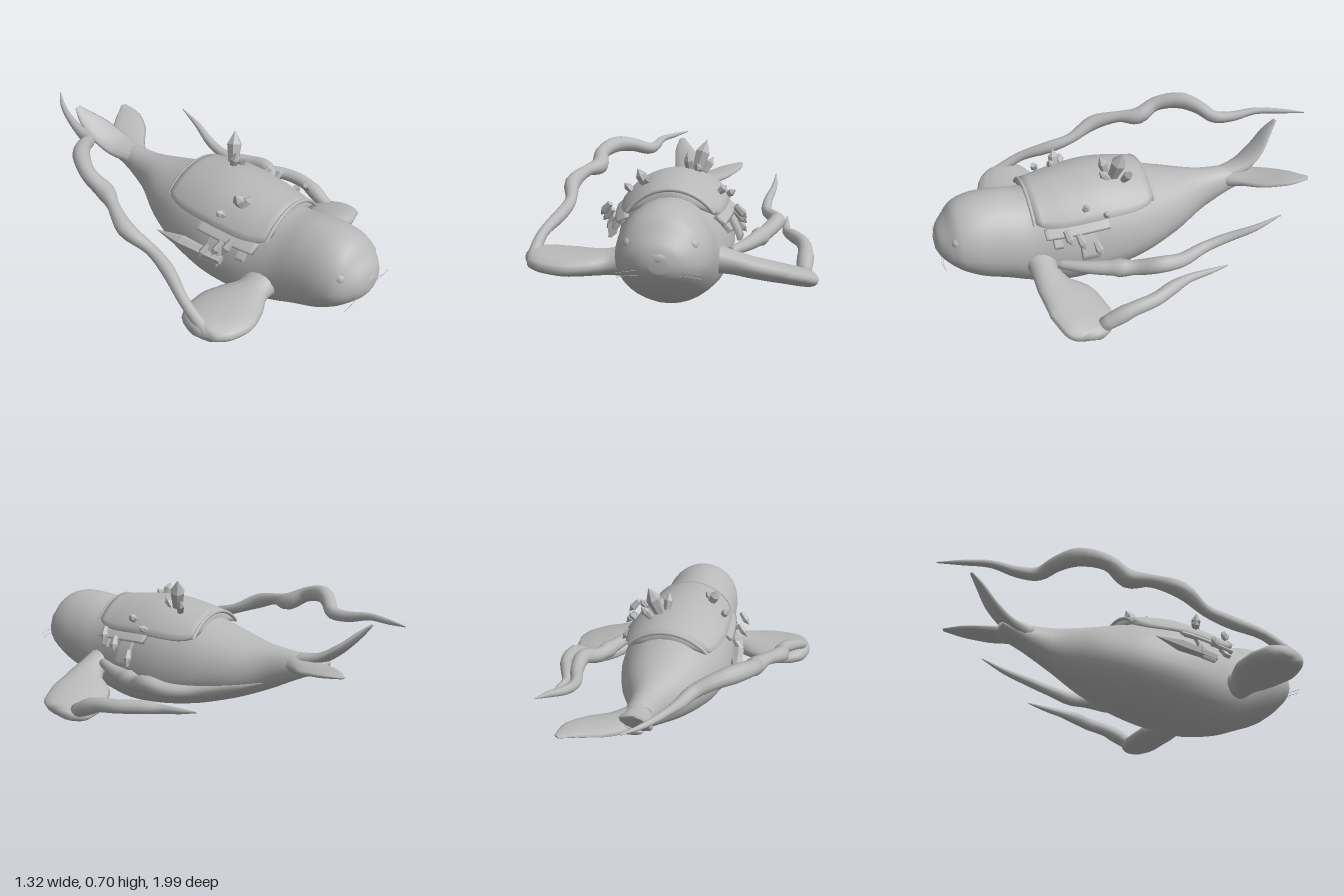
import * as THREE from 'three';

const V = (x, y, z) => new THREE.Vector3(x, y, z);
const grey = new THREE.MeshStandardMaterial({ color: 0xb8b8b8 });
grey.name = 'grey';

// Skin a list of equal-length closed rings and cap both ends
function loft(rings) {
  const n = rings[0].length, pos = [], idx = [];
  rings.forEach(r => r.forEach(p => pos.push(p.x, p.y, p.z)));
  for (let i = 0; i < rings.length - 1; i++) {
    for (let j = 0; j < n; j++) {
      const a = i * n + j, b = i * n + (j + 1) % n;
      idx.push(a, b, a + n, b, b + n, a + n);
    }
  }
  [0, rings.length - 1].forEach((i, end) => {
    const c = rings[i].reduce((s, p) => s.add(p), V(0, 0, 0)).divideScalar(n);
    const k = pos.length / 3;
    pos.push(c.x, c.y, c.z);
    for (let j = 0; j < n; j++) {
      const a = i * n + j, b = i * n + (j + 1) % n;
      if (end) idx.push(a, b, k); else idx.push(b, a, k);
    }
  });
  const g = new THREE.BufferGeometry();
  g.setAttribute('position', new THREE.Float32BufferAttribute(pos, 3));
  g.setIndex(idx);
  g.computeVertexNormals();
  return g;
}

// Sweep an ellipse through [x, y, z, halfWidth, halfThickness] sections
function sweep(sections, widthDir, steps = 4, sides = 12) {
  const path = new THREE.CatmullRomCurve3(sections.map(s => V(s[0], s[1], s[2])));
  const size = new THREE.CatmullRomCurve3(sections.map(s => V(s[3], s[4] ?? s[3], 0)));
  const count = (sections.length - 1) * steps, rings = [];
  for (let i = 0; i <= count; i++) {
    const p = path.getPoint(i / count), s = size.getPoint(i / count), t = path.getTangent(i / count);
    const w = widthDir.clone().addScaledVector(t, -widthDir.dot(t)).normalize();
    const b = t.clone().cross(w);
    rings.push(Array.from({ length: sides }, (_, j) => {
      const a = j / sides * Math.PI * 2;
      return p.clone().addScaledVector(w, Math.max(s.x, 0.001) * Math.cos(a))
        .addScaledVector(b, Math.max(s.y, 0.001) * Math.sin(a));
    }));
  }
  return loft(rings);
}

// Body profile from tail to nose: z, top, bottom, half width, height of widest line, sideways shift
const profile = [
  [-0.66, 0.385, 0.345, 0.07, 0.365, 0.03], [-0.52, 0.408, 0.275, 0.068, 0.34, 0.025], [-0.38, 0.42, 0.2, 0.092, 0.31, 0.018],
  [-0.2, 0.455, 0.12, 0.187, 0.28, 0.01], [0, 0.51, 0.055, 0.255, 0.25, 0.004], [0.2, 0.54, 0.014, 0.278, 0.23, 0],
  [0.38, 0.53, 0, 0.262, 0.22, 0], [0.55, 0.51, 0.027, 0.228, 0.23, 0], [0.68, 0.532, 0.075, 0.212, 0.28, 0],
  [0.8, 0.532, 0.125, 0.203, 0.31, 0], [0.88, 0.505, 0.18, 0.182, 0.32, 0], [0.93, 0.45, 0.225, 0.145, 0.32, 0],
  [0.97, 0.405, 0.265, 0.09, 0.33, 0], [0.988, 0.36, 0.3, 0.035, 0.33, 0]];
const edgeCurve = new THREE.CatmullRomCurve3(profile.map(p => V(p[0], p[1], p[2])));
const girthCurve = new THREE.CatmullRomCurve3(profile.map(p => V(p[3], p[4], p[5])));

function bodySection(t) {
  const e = edgeCurve.getPoint(t), g = girthCurve.getPoint(t);
  return { z: e.x, top: e.y, bottom: e.z, w: g.x, mid: g.y, shift: g.z };
}
function sectionAtZ(z) {
  let lo = 0, hi = 1;
  for (let i = 0; i < 24; i++) {
    const m = (lo + hi) / 2;
    if (edgeCurve.getPoint(m).x < z) lo = m; else hi = m;
  }
  return bodySection(lo);
}
function bodyPoint(s, a, off = 0) {
  const c = Math.cos(a), k = Math.sin(a);
  const h = k > 0 ? s.top - s.mid : s.mid - s.bottom;
  return V(s.shift + (s.w + off) * c, s.mid + (h + off) * k, s.z);
}

// Shell over the body between two z values; range(u) gives start and end angles, off(v) the height
function bodyShell(z0, z1, range, off, arc = 18) {
  const rings = [];
  for (let i = 0; i <= 16; i++) {
    const u = i / 16, s = sectionAtZ(z0 + u * (z1 - z0)), [from, to] = range(u);
    const angle = j => from + (to - from) * j / arc;
    const ring = [];
    for (let j = 0; j <= arc; j++) ring.push(bodyPoint(s, angle(j), off(j / arc)));
    for (let j = arc; j >= 0; j--) ring.push(bodyPoint(s, angle(j), off(j / arc) - 0.02));
    rings.push(ring);
  }
  return loft(rings);
}

export function createModel() {
  const model = new THREE.Group();
  const add = (name, geometry, material = grey) => {
    const m = new THREE.Mesh(geometry, material);
    m.name = name;
    model.add(m);
    return m;
  };

  // Torso and head
  const rings = [];
  for (let i = 0; i <= 60; i++) {
    const s = bodySection(i / 60);
    rings.push(Array.from({ length: 32 }, (_, j) => bodyPoint(s, j / 32 * Math.PI * 2)));
  }
  add('body', loft(rings));

  // Broad tail flukes, the right one lifted higher
  add('rightFluke', sweep([[0.015, 0.36, -0.5, 0.055, 0.045], [0, 0.39, -0.62, 0.078, 0.028],
    [-0.025, 0.445, -0.71, 0.076, 0.02], [-0.058, 0.515, -0.785, 0.05, 0.014], [-0.07, 0.57, -0.84, 0.016, 0.005]], V(1, 0.25, 0)));
  add('leftFluke', sweep([[0.03, 0.35, -0.5, 0.055, 0.045], [0.08, 0.365, -0.605, 0.082, 0.028],
    [0.155, 0.385, -0.685, 0.092, 0.02], [0.23, 0.41, -0.77, 0.068, 0.015], [0.28, 0.425, -0.855, 0.016, 0.005]], V(1, 0, 1)));

  // Front flippers, the left one sloping down and tilted back
  add('rightFlipper', sweep([[-0.17, 0.22, 0.53, 0.1, 0.08], [-0.26, 0.21, 0.535, 0.08, 0.06],
    [-0.35, 0.205, 0.535, 0.125, 0.055], [-0.46, 0.205, 0.53, 0.16, 0.054],
    [-0.56, 0.212, 0.52, 0.145, 0.052], [-0.625, 0.218, 0.515, 0.1, 0.045], [-0.655, 0.22, 0.515, 0.03, 0.02]], V(0, 0, 1), 4, 16));
  add('leftFlipper', sweep([[0.18, 0.235, 0.525, 0.08, 0.07], [0.27, 0.218, 0.525, 0.068, 0.055],
    [0.36, 0.19, 0.505, 0.092, 0.05], [0.46, 0.156, 0.45, 0.146, 0.047],
    [0.56, 0.128, 0.415, 0.145, 0.044], [0.62, 0.11, 0.39, 0.105, 0.038], [0.652, 0.105, 0.38, 0.03, 0.018]], V(0, 0.25, 1), 4, 16));

  // Wavy trailing tendrils
  const up = V(0, 1, 0);
  add('rightTendril', sweep([[-0.62, 0.22, 0.56, 0.03], [-0.605, 0.3, 0.42, 0.025], [-0.55, 0.36, 0.27, 0.032],
    [-0.53, 0.4, 0.15, 0.028], [-0.55, 0.46, 0.01, 0.04], [-0.5, 0.5, -0.12, 0.03], [-0.455, 0.51, -0.22, 0.045],
    [-0.46, 0.56, -0.32, 0.038], [-0.4, 0.59, -0.44, 0.043], [-0.32, 0.58, -0.51, 0.037], [-0.24, 0.55, -0.57, 0.032],
    [-0.21, 0.55, -0.66, 0.027], [-0.18, 0.575, -0.78, 0.018], [-0.12, 0.582, -0.9, 0.013], [-0.05, 0.592, -1, 0.003]], up));
  add('leftOuterTendril', sweep([[0.6, 0.12, 0.36, 0.035], [0.615, 0.185, 0.22, 0.035], [0.605, 0.2, 0.1, 0.033],
    [0.565, 0.205, 0, 0.032], [0.535, 0.205, -0.09, 0.022], [0.54, 0.22, -0.2, 0.014], [0.545, 0.235, -0.29, 0.003]], up));
  add('leftInnerTendril', sweep([[0.27, 0.25, 0.46, 0.022], [0.335, 0.25, 0.35, 0.03], [0.385, 0.25, 0.23, 0.038],
    [0.43, 0.255, 0.12, 0.038], [0.48, 0.285, 0.03, 0.04], [0.475, 0.275, -0.08, 0.035], [0.435, 0.28, -0.21, 0.028],
    [0.44, 0.31, -0.33, 0.024], [0.475, 0.36, -0.46, 0.016], [0.488, 0.412, -0.585, 0.003]], up));

  // Saddle shell hugging the back
  add('saddle', bodyShell(-0.05, 0.54, u => {
    const start = 0.64 + 0.15 * Math.pow(Math.abs(2 * u - 1), 6);
    return [start, Math.PI - start];
  }, () => 0.038));

  // Rolled saddle rims
  [['saddleFrontRim', 0.54], ['saddleBackRim', -0.05]].forEach(([name, z]) => {
    const s = sectionAtZ(z), pts = [];
    for (let j = 0; j <= 12; j++) pts.push(bodyPoint(s, 0.75 + (Math.PI - 1.5) * j / 12, 0.032));
    add(name, new THREE.TubeGeometry(new THREE.CatmullRomCurve3(pts), 32, 0.009, 8));
  });

  // Side flaps with a hanging strap, flaring slightly off the flanks
  const flap = (name, z0, z1, low, high, lift) => {
    add('left' + name, bodyShell(z0, z1, () => [low, high], v => lift - 0.02 * v, 6));
    add('right' + name, bodyShell(z0, z1, () => [Math.PI - high, Math.PI - low], v => lift - 0.02 + 0.02 * v, 6));
  };
  flap('Flap', 0.2, 0.5, 0.5, 0.68, 0.045);
  flap('Strap', 0.27, 0.35, 0.14, 0.56, 0.05);
  flap('FrontStrap', 0.43, 0.47, 0.36, 0.56, 0.045);

  // Faceted crystals: base, tip, radius
  const crystalMaterial = new THREE.MeshStandardMaterial({ color: 0xb8b8b8, flatShading: true });
  crystalMaterial.name = 'facetedGrey';
  function crystal(name, base, tip, r) {
    const a = V(...base), d = V(...tip).sub(a), h = d.length();
    const shape = [[0, 0], [r * 0.7, 0], [r, h * 0.6], [0, h]].map(p => new THREE.Vector2(...p));
    const m = add(name, new THREE.LatheGeometry(shape, 6), crystalMaterial);
    m.position.copy(a);
    m.quaternion.setFromUnitVectors(up, d.normalize());
  }
  [
    [[0.085, 0.55, 0.12], [0.135, 0.7, 0.085], 0.038], [[0.055, 0.55, 0.14], [0.045, 0.65, 0.17], 0.024],
    [[0.12, 0.54, 0.08], [0.165, 0.61, 0.05], 0.022], [[0.1, 0.54, 0.14], [0.09, 0.6, 0.19], 0.02],
    [[-0.13, 0.52, 0.35], [-0.17, 0.6, 0.34], 0.028], [[-0.14, 0.52, 0.36], [-0.1, 0.575, 0.38], 0.02],
    [[-0.2, 0.48, 0.3], [-0.24, 0.52, 0.29], 0.02], [[0.2, 0.48, 0.3], [0.24, 0.52, 0.3], 0.02],
    [[0.23, 0.45, 0.2], [0.28, 0.48, 0.22], 0.018]
  ].forEach(c => crystal('crystal', ...c));
  [-1, 1].forEach(side => [[0.28, 0.29], [0.36, 0.35], [0.42, 0.39]].forEach(([z, y]) =>
    crystal('sideCrystal', [side * 0.285, y + 0.06, z], [side * 0.335, y, z - 0.02], 0.02)));
  crystal('rightSideSpike', [-0.29, 0.3, 0.36], [-0.335, 0.32, -0.01], 0.032);

  // Face: eyes, nose and whiskers
  [-1, 1].forEach(side => {
    const eye = add('eye', new THREE.SphereGeometry(0.028, 16, 12));
    eye.position.set(side * 0.125, 0.395, 0.892);
    for (let i = 0; i < 2; i++) {
      const y = 0.285 + i * 0.02;
      add('whisker', sweep([[side * 0.07, y, 0.96, 0.001], [side * 0.12, y, 0.97 + i * 0.008, 0.001],
        [side * 0.17, y - 0.01, 0.965 + i * 0.008, 0.001]], up, 4, 5));
    }
  });
  const nose = add('nose', new THREE.SphereGeometry(0.035, 16, 12));
  nose.scale.set(1.2, 0.8, 0.5);
  nose.position.set(0, 0.355, 0.972);

  return model;
}
